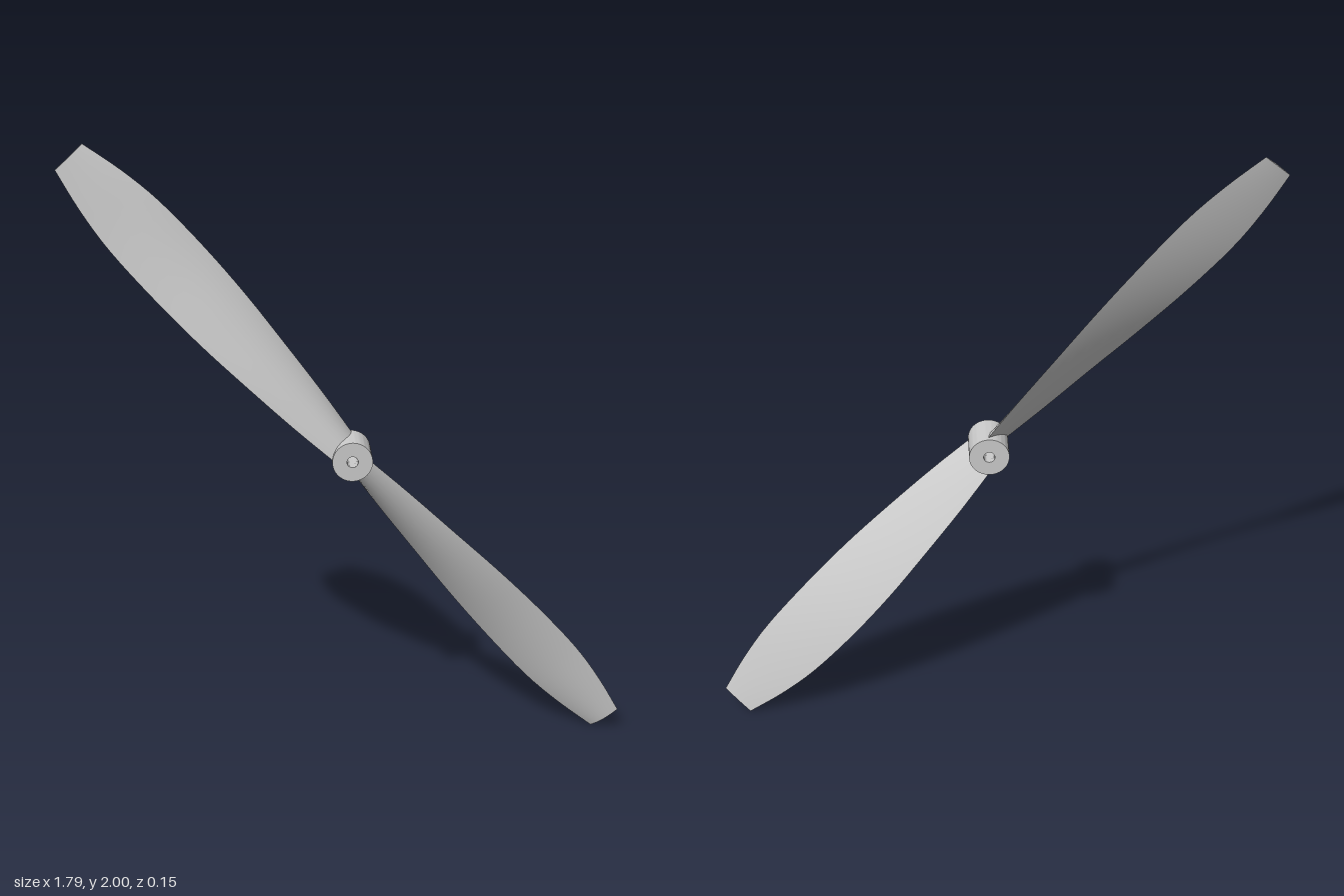
import * as THREE from 'three';
import { toCreasedNormals } from 'three/addons/utils/BufferGeometryUtils.js';

// Blade stations: distance from hub axis, half width, z of front edge, z of back edge, thickness
const STATIONS = [
  [0.03, 0.042, 0.068, -0.038, 0.03],
  [0.20, 0.062, 0.069, -0.050, 0.028],
  [0.40, 0.080, 0.066, -0.062, 0.026],
  [0.60, 0.096, 0.055, -0.070, 0.024],
  [0.80, 0.104, 0.037, -0.070, 0.021],
  [1.00, 0.102, 0.021, -0.061, 0.018],
  [1.15, 0.084, 0.010, -0.050, 0.016],
  [1.288, 0.055, -0.001, -0.036, 0.012],
];
const HALF = 10; // points along each face of a section

// Twisted section: domed front face, nearly flat back face
function section([s, w, zf, zb, t]) {
  const pts = [];
  const len = Math.hypot(2 * w, zf - zb);
  const nx = (zf - zb) / len, nz = (2 * w) / len;
  for (let k = 0; k < 2 * HALF; k++) {
    const front = k <= HALF;
    const u = Math.cos((Math.PI * k) / HALF);
    const bulge = (1 - u * u) * t * (front ? 0.85 : -0.15);
    const z = (zf + zb) / 2 - (u * (zf - zb)) / 2;
    pts.push([u * w + nx * bulge, s, z + nz * bulge]);
  }
  return pts;
}

function bladeGeometry() {
  const pos = [], index = [], n = 2 * HALF;
  const rings = [];
  // Smooth interpolation between stations
  const steps = 28;
  const columns = [0, 1, 2, 3, 4].map((c) => new THREE.SplineCurve(
    STATIONS.map((row, i) => new THREE.Vector2(i, row[c]))));
  for (let i = 0; i <= steps; i++) {
    rings.push(section(columns.map((curve) => curve.getPoint(i / steps).y)));
  }
  rings.forEach((ring) => ring.forEach((p) => pos.push(...p)));
  for (let i = 0; i < steps; i++) {
    for (let j = 0; j < n; j++) {
      const a = i * n + j, b = i * n + ((j + 1) % n);
      index.push(a, b + n, b, a, a + n, b + n);
    }
  }
  // Flat caps at root and tip
  const last = steps * n;
  for (let j = 1; j < n - 1; j++) {
    index.push(0, j, j + 1, last, last + j + 1, last + j);
  }
  const g = new THREE.BufferGeometry();
  g.setAttribute('position', new THREE.Float32BufferAttribute(pos, 3));
  g.setIndex(index);
  return toCreasedNormals(g, 0.7);
}

function hubGeometry() {
  const shape = new THREE.Shape().absarc(0, 0, 0.064, 0, Math.PI * 2, false);
  shape.holes.push(new THREE.Path().absarc(0, 0, 0.018, 0, Math.PI * 2, true));
  const g = new THREE.ExtrudeGeometry(shape, { depth: 0.128, bevelEnabled: false, curveSegments: 32 });
  g.translate(0, 0, -0.053);
  return toCreasedNormals(g, 0.7);
}

export function createModel() {
  const model = new THREE.Group();
  model.name = 'propeller';
  const material = new THREE.MeshStandardMaterial({ color: 0xcccccc });

  // Hub with a through hole for the shaft
  const hub = new THREE.Mesh(hubGeometry(), material);
  hub.name = 'hub';
  hub.position.y = 1;
  model.add(hub);

  // Two identical blades, half a turn apart
  const geometry = bladeGeometry();
  ['upperBlade', 'lowerBlade'].forEach((name, i) => {
    const blade = new THREE.Mesh(geometry, material);
    blade.name = name;
    blade.position.y = 1;
    blade.rotation.z = 0.726 + i * Math.PI;
    model.add(blade);
  });
  return model;
}
